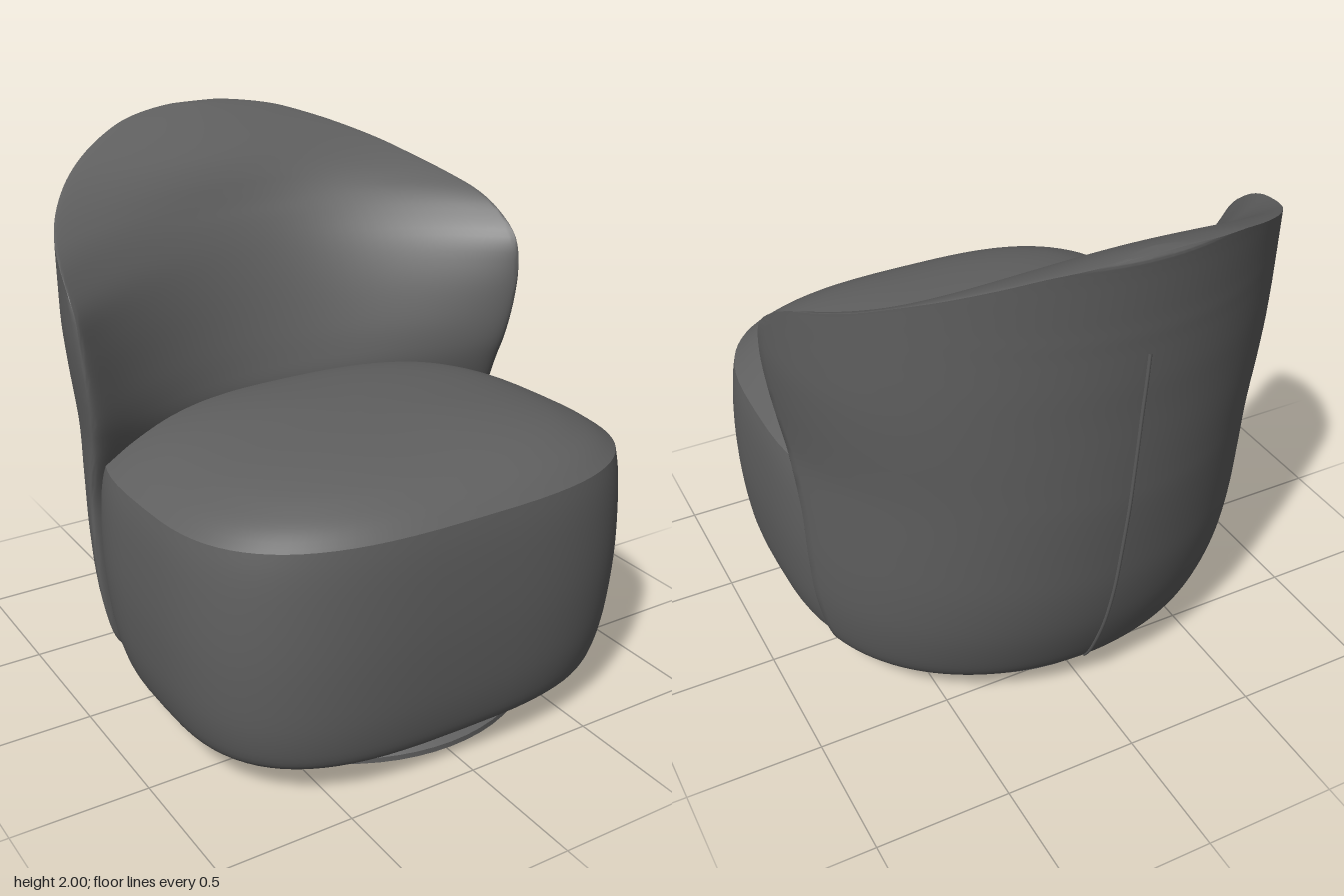
import * as THREE from 'three';
import { toCreasedNormals } from 'three/addons/utils/BufferGeometryUtils.js';

const fabric = new THREE.MeshStandardMaterial({ color: 0x606060 });
fabric.name = 'greyFabric';

// Skin a stack of closed rings (bottom to top, clockwise seen from above)
function loft(rings, crease = 0.7) {
  const n = rings[0].length;
  const index = [];
  for (let r = 0; r < rings.length - 1; r++) {
    for (let i = 0; i < n; i++) {
      const a = r * n + i, b = r * n + (i + 1) % n;
      index.push(a, a + n, b, b, a + n, b + n);
    }
  }
  const geo = new THREE.BufferGeometry();
  geo.setAttribute('position', new THREE.Float32BufferAttribute(rings.flat(2), 3));
  geo.setIndex(index);
  return toCreasedNormals(geo, crease);
}

// Smoothly resample rows of numbers, column by column
function resample(rows, count) {
  const columns = rows[0].map((_, c) => new THREE.SplineCurve(rows.map((row, k) => new THREE.Vector2(k, row[c]))));
  return Array.from({ length: count + 1 }, (_, k) => columns.map((curve) => curve.getPoint(k / count).y));
}

function add(parent, name, geometry) {
  const mesh = new THREE.Mesh(geometry, fabric);
  mesh.name = name;
  parent.add(mesh);
  return mesh;
}

// Rounded-square seat outline at a given scale and height, dipping slightly to the rear
function seatRing([y, scale]) {
  const ring = [];
  for (let i = 0; i < 80; i++) {
    const t = (i / 80) * Math.PI * 2;
    const c = Math.cos(t), s = Math.sin(t);
    const x = Math.sign(c) * Math.abs(c) ** 0.67 * 0.905 * scale;
    const z = 0.3 + Math.sign(s) * Math.abs(s) ** 0.67 * (s > 0 ? 0.7 : 0.8) * scale;
    ring.push([x, y + 0.035 * (z - 0.98) * Math.min(1, y / 0.97) ** 4, z]);
  }
  return ring;
}

// Crescent cross-section of the back: elliptical outside, padded inside, rounded lips at the ends
const HALF = 56;
function backRing([y, a, b, tip, inner, power, lip]) {
  const end = tip - lip;
  const phi = Math.acos(THREE.MathUtils.clamp(-end / b, -1, 1));
  const width = a * Math.sin(phi);
  const ring = [];
  for (let i = 0; i <= HALF; i++) {
    const t = phi * (2 * i / HALF - 1);
    ring.push([a * Math.sin(t), y, -b * Math.cos(t)]);
  }
  for (let i = 1; i < HALF; i++) {
    const s = Math.cos(Math.PI * i / HALF);
    const depth = (inner - tip) * Math.cos(s * Math.PI / 2) ** power;
    ring.push([width * s, y, end + lip * Math.sqrt(1 - s ** 16) + depth]);
  }
  return ring;
}

// Collapse a crescent to its middle line, which closes the end of the loft
function closeRing(ring) {
  const n = ring.length;
  return ring.map((p, i) => {
    const q = ring[(2 * n - i + HALF) % n];
    return [(p[0] + q[0]) / 2, p[1], (p[2] + q[2]) / 2];
  });
}

export function createModel() {
  const chair = new THREE.Group();
  chair.name = 'swivelTubChair';

  // Upholstered seat block and its crowned cushion, meeting at a seam
  const body = resample([
    [0.12, 0.88], [0.14, 0.915], [0.2, 0.945], [0.32, 0.975], [0.5, 0.995],
    [0.65, 1], [0.8, 0.995], [0.9, 0.985], [0.97, 0.972],
  ], 24);
  add(chair, 'seatBody', loft([seatRing([0.12, 0]), ...body.map(seatRing)]));
  const crown = resample([
    [0.97, 0.972], [1.015, 0.9], [1.05, 0.82], [1.085, 0.71], [1.117, 0.53], [1.14, 0.27], [1.147, 0],
  ], 20);
  add(chair, 'seatCushion', loft(crown.map(seatRing)));

  // Wraparound back: height, half width, depth, edge z, inner z, inner roundness, lip
  const rows = [
    [0.11, 0.74, 0.61, -0.2, -0.3, 0.9, 0.03],
    [0.14, 0.8, 0.65, -0.15, -0.3, 0.9, 0.03],
    [0.22, 0.845, 0.7, -0.13, -0.3, 0.9, 0.04],
    [0.4, 0.88, 0.775, -0.125, -0.3, 0.9, 0.04],
    [0.6, 0.893, 0.83, -0.125, -0.29, 0.9, 0.04],
    [0.8, 0.895, 0.865, -0.115, -0.28, 0.9, 0.04],
    [1.0, 0.895, 0.895, -0.05, -0.27, 1.05, 0.05],
    [1.12, 0.905, 0.908, -0.01, -0.3, 1.05, 0.05],
    [1.26, 0.922, 0.922, 0.015, -0.35, 0.95, 0.05],
    [1.4, 0.935, 0.935, 0.02, -0.405, 0.85, 0.05],
    [1.52, 0.937, 0.948, -0.005, -0.46, 0.75, 0.05],
    [1.61, 0.937, 0.956, -0.11, -0.51, 0.7, 0.045],
    [1.67, 0.937, 0.961, -0.225, -0.55, 0.7, 0.04],
    [1.72, 0.936, 0.966, -0.37, -0.58, 0.7, 0.03],
    [1.77, 0.936, 0.97, -0.51, -0.61, 0.7, 0.02],
    [1.83, 0.935, 0.976, -0.65, -0.655, 0.65, 0.01],
    [1.88, 0.935, 0.981, -0.755, -0.71, 0.6, 0.01],
    [1.93, 0.935, 0.986, -0.855, -0.785, 0.6, 0.005],
    [1.965, 0.935, 0.99, -0.92, -0.85, 0.6, 0],
    [1.987, 0.935, 0.992, -0.965, -0.9, 0.6, 0],
    [2.0, 0.93, 0.985, -0.98, -0.94, 0.6, 0],
  ];
  const levels = resample(rows, 80);
  const rings = levels.map(backRing);
  add(chair, 'backrest', loft([closeRing(rings[0]), ...rings, closeRing(rings[rings.length - 1])], 0.9));

  // Stitched seam down the middle of the back
  const seamPath = new THREE.CatmullRomCurve3(
    levels.filter(([y]) => y > 0.13 && y < 1.65).map(([y, , b]) => new THREE.Vector3(0, y, -b)));
  add(chair, 'backSeam', new THREE.TubeGeometry(seamPath, 48, 0.007, 6));

  // Swivel base: stepped ring, recessed floor, hub and five ribs
  const base = new THREE.Group();
  base.name = 'swivelBase';
  base.position.z = 0.165;
  chair.add(base);
  const profile = [
    [0, 0.06], [0.61, 0.06], [0.62, 0.012], [0.69, 0.012], [0.71, 0.025], [0.71, 0.045],
    [0.68, 0.06], [0.66, 0.07], [0.685, 0.08], [0.685, 0.1], [0.66, 0.115], [0.62, 0.14],
  ].map(([r, y]) => new THREE.Vector2(r, y));
  add(base, 'baseRing', toCreasedNormals(new THREE.LatheGeometry(profile, 64), 0.5));
  const hub = add(base, 'baseHub', new THREE.CylinderGeometry(0.44, 0.4, 0.07, 40));
  hub.position.y = 0.035;
  for (let i = 0; i < 5; i++) {
    const angle = (i / 5) * Math.PI * 2 + Math.PI / 2;
    const rib = add(base, 'baseRib', new THREE.BoxGeometry(0.26, 0.045, 0.07));
    rib.position.set(Math.cos(angle) * 0.51, 0.045, -Math.sin(angle) * 0.51);
    rib.rotation.y = angle;
  }
  return chair;
}
